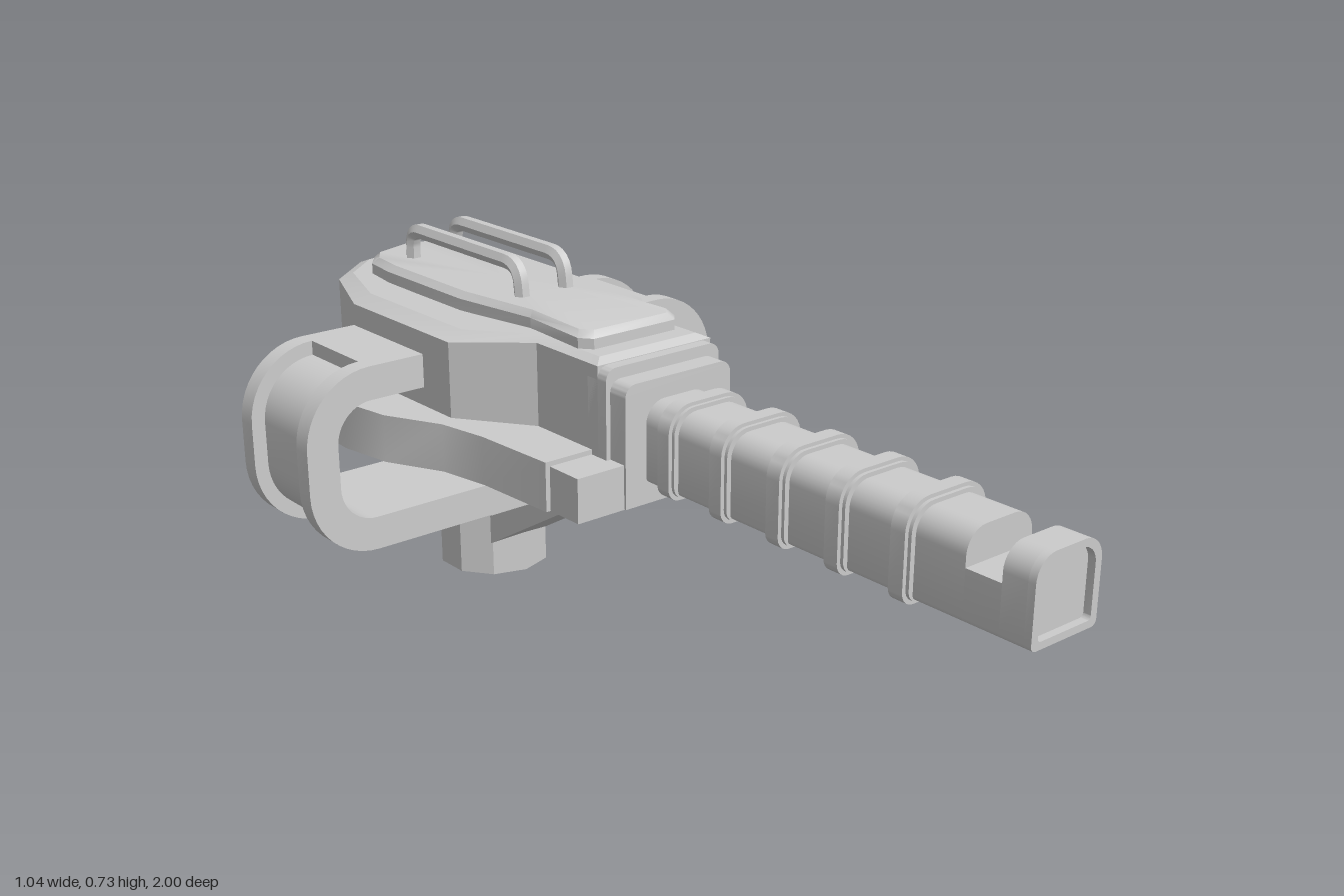
import * as THREE from 'three';
import { toCreasedNormals } from 'three/addons/utils/BufferGeometryUtils.js';

const material = new THREE.MeshStandardMaterial({ color: 0xcccccc });

function add(parent, name, geometry, crease = 0.5) {
  const mesh = new THREE.Mesh(toCreasedNormals(geometry, crease), material);
  mesh.name = name;
  parent.add(mesh);
  return mesh;
}

// Full plan outline from the +x half, listed front to back as [x, z]
function mirrored(half) {
  const other = half.filter(([x]) => x > 0).reverse().map(([x, z]) => [-x, z]);
  return [...half, ...other];
}

// One level of a loft: scaled outline at height y, sinking towards the sides by drop * x * x
function level(outline, y, sx = 1, sz = 1, drop = 0, cz = -0.5) {
  return outline.map(([x, z]) =>
    new THREE.Vector3(x * sx, y - drop * x * x, cz + (z - cz) * sz));
}

// Skin over levels from bottom to top, capped with fans
function loft(levels, cz = -0.5) {
  const p = [];
  const tri = (...v) => v.forEach((q) => p.push(q.x, q.y, q.z));
  const n = levels[0].length, top = levels[levels.length - 1];
  const lowMid = new THREE.Vector3(0, levels[0][0].y, cz);
  const topMid = new THREE.Vector3(0, Math.max(...top.map((v) => v.y)), cz);
  for (let i = 0; i < n; i++) {
    const j = (i + 1) % n;
    for (let k = 0; k + 1 < levels.length; k++) {
      const a = levels[k], b = levels[k + 1];
      tri(a[i], a[j], b[j]);
      tri(a[i], b[j], b[i]);
    }
    tri(lowMid, levels[0][j], levels[0][i]);
    tri(topMid, top[i], top[j]);
  }
  const g = new THREE.BufferGeometry();
  g.setAttribute('position', new THREE.Float32BufferAttribute(p, 3));
  g.computeVertexNormals();
  return g;
}

// Front-facing block section with separate bottom and top corner radii
function section(w, y0, y1, rb, rt, Type = THREE.Shape) {
  const s = new Type(), h = Math.PI / 2;
  s.moveTo(-w + rb, y0);
  s.lineTo(w - rb, y0);
  if (rb) s.absarc(w - rb, y0 + rb, rb, -h, 0);
  s.lineTo(w, y1 - rt);
  if (rt) s.absarc(w - rt, y1 - rt, rt, 0, h);
  s.lineTo(-w + rt, y1);
  if (rt) s.absarc(-w + rt, y1 - rt, rt, h, 2 * h);
  s.lineTo(-w, y0 + rb);
  if (rb) s.absarc(-w + rb, y0 + rb, rb, 2 * h, 3 * h);
  return s;
}

function extrude(shape, z0, z1, curveSegments = 4) {
  return new THREE.ExtrudeGeometry(shape, { depth: z1 - z0, bevelEnabled: false, curveSegments })
    .translate(0, 0, z0);
}

// Side loop band; inset sinks the outer face around the bend
function loopShape(inset) {
  const s = new THREE.Shape(), h = Math.PI / 2, r = 0.15 - inset;
  s.moveTo(0, 0.155);
  s.lineTo(0.37, 0.155);
  s.absarc(0.37, 0.305, r, -h, 0);
  s.absarc(0.37, 0.395, r, 0, h);
  s.lineTo(0.37, 0.545);
  s.lineTo(0.2, 0.545);
  s.lineTo(0.2, 0.475);
  s.absarc(0.37, 0.395, 0.08, h, 0, true);
  s.absarc(0.37, 0.305, 0.08, 0, -h, true);
  s.lineTo(0, 0.225);
  return s;
}

export function createModel() {
  const model = new THREE.Group();
  model.name = 'mountedGun';

  // Wide base plate and its front block
  const plate = mirrored([[0.25, -0.02], [0.26, -0.21], [0.28, -0.32], [0.34, -0.44],
    [0.36, -0.56], [0.355, -0.7], [0.29, -0.88], [0.2, -0.965], [0, -1]]);
  add(model, 'basePlate', loft([level(plate, 0.335), level(plate, 0.435)]));
  add(model, 'frontBlock', extrude(section(0.24, 0.335, 0.425, 0, 0), -0.03, 0.065));

  // Upper housing with a gently crowned roof
  const housing = mirrored([[0.14, 0], [0.14, -0.19], [0.245, -0.34], [0.245, -0.69],
    [0.185, -0.85], [0.09, -0.915], [0, -0.925]]);
  add(model, 'housing', loft([
    level(housing, 0.43), level(housing, 0.613, 1, 1, 0.35), level(housing, 0.619, 0.85, 0.96, 0.15),
  ]), 0.3);

  // Raised lid
  const lid = mirrored([[0.1, -0.06], [0.12, -0.085], [0.11, -0.25], [0.14, -0.45],
    [0.14, -0.72], [0.13, -0.8], [0.1, -0.84], [0, -0.87]]);
  add(model, 'lid', loft([
    level(lid, 0.6), level(lid, 0.637), level(lid, 0.65, 0.9, 0.97),
  ]), 0.7);

  // Two rails on the lid
  for (const x of [-0.055, 0.055]) {
    const v = (y, z) => new THREE.Vector3(x, y, z);
    const path = new THREE.CurvePath();
    path.add(new THREE.LineCurve3(v(0.63, -0.35), v(0.675, -0.355)));
    path.add(new THREE.QuadraticBezierCurve3(v(0.675, -0.355), v(0.713, -0.36), v(0.713, -0.4)));
    path.add(new THREE.LineCurve3(v(0.713, -0.4), v(0.713, -0.71)));
    path.add(new THREE.QuadraticBezierCurve3(v(0.713, -0.71), v(0.713, -0.75), v(0.675, -0.75)));
    path.add(new THREE.LineCurve3(v(0.675, -0.75), v(0.63, -0.75)));
    add(model, 'lidRail', new THREE.TubeGeometry(path, 48, 0.017, 6), 0.8);
  }

  // Stepped collar around the barrel root
  add(model, 'rearCollar', extrude(section(0.14, 0.34, 0.605, 0, 0.025), -0.03, 0.025));
  add(model, 'frontCollar', extrude(section(0.13, 0.336, 0.582, 0, 0.025), 0.02, 0.07));

  // Barrel with a sight notch and a shallow muzzle recess
  const bore = section(0.08, 0.378, 0.54, 0.012, 0.045);
  add(model, 'barrel', extrude(bore, 0.05, 0.86));
  add(model, 'barrelNotch', extrude(section(0.08, 0.378, 0.475, 0.012, 0), 0.86, 0.935));
  add(model, 'muzzle', extrude(bore, 0.935, 0.985));
  const rim = section(0.08, 0.378, 0.54, 0.012, 0.045);
  rim.holes.push(section(0.065, 0.392, 0.526, 0.008, 0.035, THREE.Path));
  add(model, 'muzzleRim', extrude(rim, 0.985, 1));
  for (const z of [0.14, 0.285, 0.435, 0.58, 0.73]) {
    add(model, 'barrelRing', extrude(section(0.09, 0.374, 0.548, 0.025, 0.05), z - 0.023, z + 0.023));
    add(model, 'barrelRingBand', extrude(section(0.098, 0.368, 0.555, 0.028, 0.055), z - 0.016, z + 0.016));
  }

  // Side loops: two full-height flanges with a recessed band between them
  for (const side of [0, Math.PI]) {
    const loop = new THREE.Group();
    loop.name = side ? 'rightLoop' : 'leftLoop';
    add(loop, 'loopBand', extrude(loopShape(0.03), -0.09, 0.09, 6));
    add(loop, 'loopFlange', extrude(loopShape(0), 0.09, 0.131, 6));
    add(loop, 'loopFlange', extrude(loopShape(0), -0.131, -0.09, 6));
    loop.position.z = -0.565;
    loop.rotation.y = side;
    model.add(loop);
  }

  // Shallow cone under the plate, flared neck and post
  const ring = (y, rx, rz, cz) => Array.from({ length: 20 }, (_, i) => {
    const a = (i / 20) * Math.PI * 2;
    return new THREE.Vector3(rx * Math.cos(a), y, cz - rz * Math.sin(a));
  });
  add(model, 'underCone', loft([
    ring(0.22, 0.105, 0.11, -0.56), ring(0.28, 0.13, 0.13, -0.56), ring(0.337, 0.25, 0.3, -0.59),
  ], -0.56));
  add(model, 'post', new THREE.CylinderGeometry(0.12, 0.12, 0.29, 10).translate(0, 0.145, -0.56));

  // Slanted strut from the post to the front of the plate
  const strut = new THREE.Shape([[0.02, 0.337], [0.48, 0.065], [0.48, 0.13], [0.07, 0.337]]
    .map(([x, y]) => new THREE.Vector2(x, y)));
  add(model, 'strut', extrude(strut, -0.073, 0.073).rotateY(Math.PI / 2));

  return model;
}
